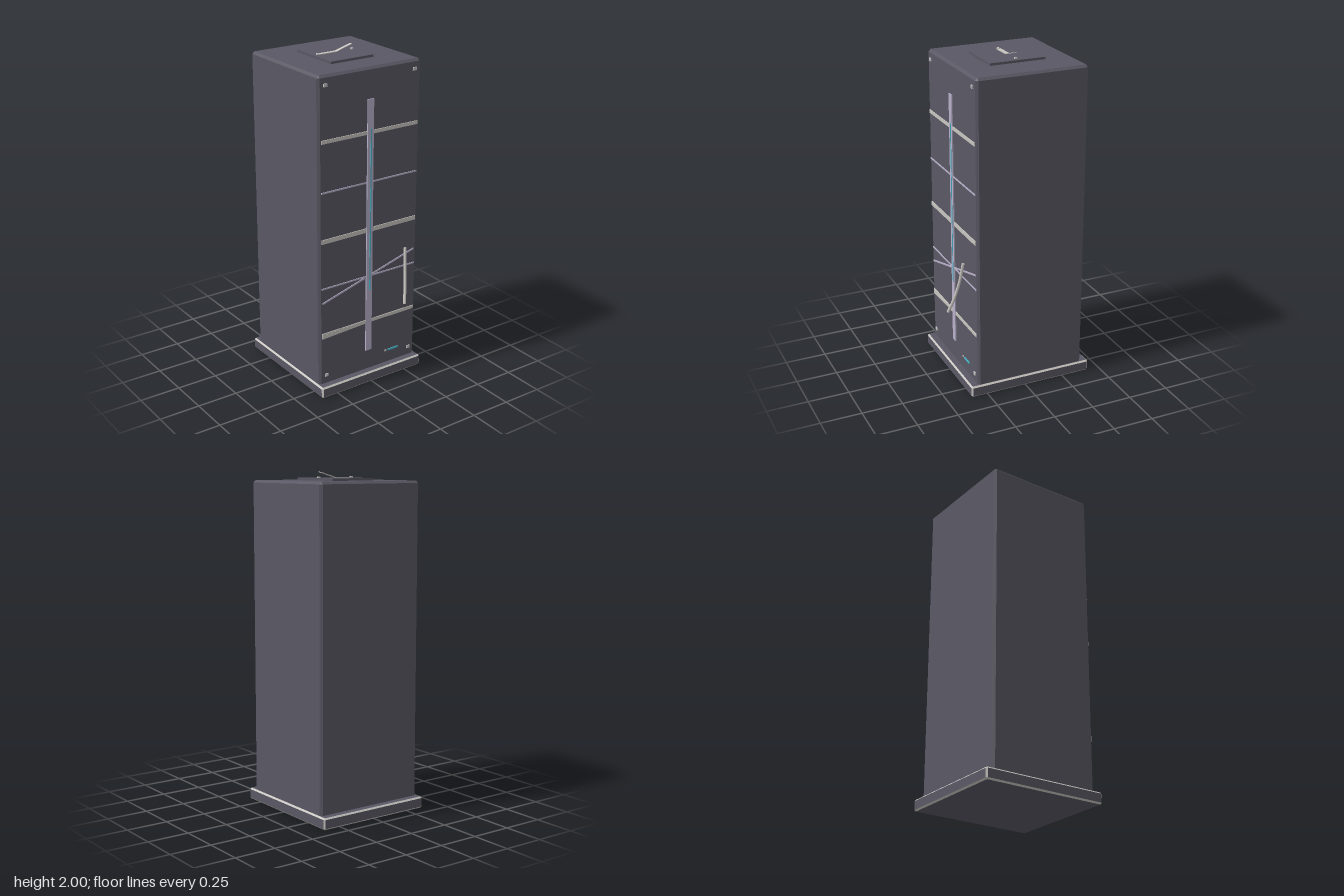
import * as THREE from 'three';
import { ConvexGeometry } from 'three/addons/geometries/ConvexGeometry.js';

const mat = (name, color) => {
  const m = new THREE.MeshStandardMaterial({ color });
  m.name = name;
  return m;
};

// Box with chamfered edges; flat sides are group 0, chamfers are group 1
function chamferBox(w, h, d, c) {
  const pts = [], half = [w / 2, h / 2, d / 2];
  for (const sx of [-1, 1]) for (const sy of [-1, 1]) for (const sz of [-1, 1]) {
    for (let k = 0; k < 3; k++) {
      const p = half.map((v, i) => (i === k ? v : v - c));
      pts.push(new THREE.Vector3(p[0] * sx, p[1] * sy, p[2] * sz));
    }
  }
  const src = new ConvexGeometry(pts), pos = src.attributes.position, nor = src.attributes.normal;
  const flat = [], bevel = [];
  for (let i = 0; i < pos.count; i += 3) {
    const n = Math.max(Math.abs(nor.getX(i)), Math.abs(nor.getY(i)), Math.abs(nor.getZ(i)));
    const out = n > 0.99 ? flat : bevel;
    for (let j = i; j < i + 3; j++) out.push(pos.getX(j), pos.getY(j), pos.getZ(j));
  }
  const geo = new THREE.BufferGeometry();
  geo.setAttribute('position', new THREE.Float32BufferAttribute(flat.concat(bevel), 3));
  geo.addGroup(0, flat.length / 3, 0);
  geo.addGroup(flat.length / 3, bevel.length / 3, 1);
  geo.computeVertexNormals();
  return geo;
}

export function createModel() {
  const model = new THREE.Group();
  model.name = 'lockerTower';
  const dark = mat('dark slate', 0x5a5864);
  const pale = mat('pale grey', 0xc8c5c0);
  const lilac = mat('lilac', 0xb8b0ca);
  const cyan = mat('cyan', 0x48b8cc);
  const FRONT = 0.307, MID = -0.036;

  const add = (name, geo, material, x, y, z, parent = model) => {
    const mesh = new THREE.Mesh(geo, material);
    mesh.name = name;
    mesh.position.set(x, y, z);
    parent.add(mesh);
    return mesh;
  };
  const box = (name, w, h, d, m, x, y, z, parent) =>
    add(name, new THREE.BoxGeometry(w, h, d), m, x, y, z, parent);

  // Cabinet, plinth with worn edges, and lid plate
  add('cabinet', chamferBox(0.706, 1.895, 0.685, 0.014), [dark, dark], 0, 1.0025, MID);
  add('plinth', chamferBox(0.73, 0.07, 0.78, 0.009), [dark, pale], 0, 0.037, MID);
  box('lidPlate', 0.294, 0.016, 0.343, dark, 0, 1.956, -0.038);

  // Thin strips laid across the front from one point to another
  const front = new THREE.Group();
  front.name = 'frontTrim';
  model.add(front);
  const strip = (name, x0, y0, x1, y1, h, m, t) => {
    const s = box(name, Math.hypot(x1 - x0, y1 - y0), h, t, m,
      (x0 + x1) / 2, (y0 + y1) / 2, FRONT + t / 2, front);
    s.rotation.z = Math.atan2(y1 - y0, x1 - x0);
  };
  for (const [y, h] of [[1.576, 0.021], [0.985, 0.026], [0.395, 0.02]])
    strip('wideBand', -0.335, y, 0.335, y, h, pale, 0.005);
  strip('looseBand', -0.335, 0.381, 0, 0.395, 0.02, pale, 0.0055);
  for (const y of [1.279, 0.691]) strip('narrowBand', -0.335, y, 0.335, y, 0.009, lilac, 0.004);
  strip('diagonalBand', -0.33, 0.599, 0.33, 0.785, 0.01, lilac, 0.0045);
  box('centreStrip', 0.042, 1.57, 0.007, lilac, -0.001, 0.985, FRONT + 0.0035, front);
  box('centreLight', 0.007, 1.0, 0.003, cyan, 0.002, 1.1, FRONT + 0.008, front);

  // Corner fasteners
  for (const x of [-0.305, 0.305]) for (const y of [0.126, 1.895]) {
    box('fastener', 0.024, 0.018, 0.006, pale, x, y, FRONT + 0.003, front);
    box('fastenerCore', 0.012, 0.009, 0.002, lilac, x, y, FRONT + 0.007, front);
  }

  // Status bar with its dot
  box('statusBar', 0.075, 0.011, 0.005, cyan, 0.188, 0.153, FRONT + 0.0025, front);
  box('statusDot', 0.01, 0.01, 0.005, pale, 0.131, 0.153, FRONT + 0.0025, front);

  // Loose curved handle in front of the door
  const curve = new THREE.CatmullRomCurve3([
    [0.237, 0.826, 0.347], [0.226, 0.72, 0.363], [0.206, 0.6, 0.392], [0.18, 0.503, 0.423],
  ].map((p) => new THREE.Vector3(...p)));
  const handle = new THREE.Group();
  handle.name = 'looseHandle';
  model.add(handle);
  add('handleRod', new THREE.TubeGeometry(curve, 16, 0.009, 8), pale, 0, 0, 0, handle);
  for (const t of [0, 1]) {
    const end = curve.getPoint(t);
    const cap = add('handleCap', new THREE.CircleGeometry(0.009, 8), pale, end.x, end.y, end.z, handle);
    cap.lookAt(end.clone().addScaledVector(curve.getTangent(t), t ? 1 : -1));
  }

  // Broken carrying strap on the lid: one half flat, the other half sprung up
  const strap = new THREE.Group();
  strap.name = 'topStrap';
  strap.position.set(0, 1.964, -0.038);
  model.add(strap);
  box('flatStrap', 0.12, 0.004, 0.025, pale, -0.055, 0.003, 0, strap);
  const raised = box('raisedStrap', 0.118, 0.003, 0.022, pale, 0.055, 0.018, 0, strap);
  raised.rotation.z = 0.28;
  for (const x of [-0.118, 0.118]) box('strapLug', 0.014, 0.009, 0.014, pale, x, 0.0045, 0, strap);

  return model;
}
